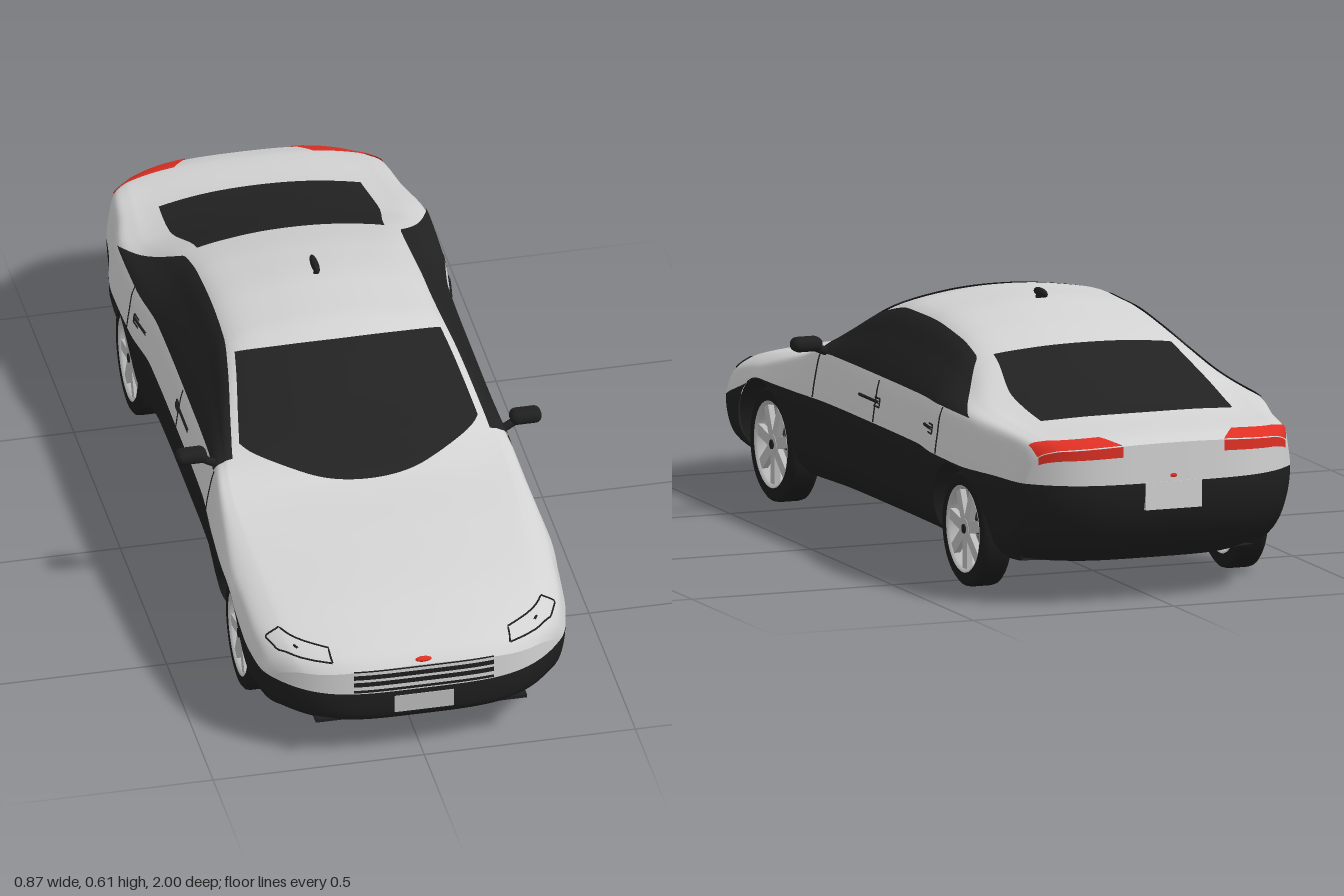
import * as THREE from 'three';
import { RoundedBoxGeometry } from 'three/addons/geometries/RoundedBoxGeometry.js';

const { lerp, clamp } = THREE.MathUtils;
const mat = (name, color) => {
  const m = new THREE.MeshStandardMaterial({ color, side: THREE.DoubleSide });
  m.name = name;
  return m;
};

// Body stations: z, half width, shoulder y, roof edge x, roof edge y, centre y
const ROWS = [
  [1, .34, .222, .24, .238, .25], [.985, .346, .23, .26, .253, .266],
  [.95, .358, .243, .27, .272, .286], [.9, .368, .262, .275, .29, .304],
  [.8, .38, .288, .28, .318, .333], [.6, .385, .33, .29, .353, .365],
  [.42, .376, .37, .3, .385, .39], [.33, .368, .395, .295, .42, .45],
  [.25, .362, .4, .282, .463, .515], [.1, .36, .4, .255, .533, .572],
  [0, .36, .4, .242, .553, .588], [-.12, .36, .4, .238, .553, .588],
  [-.3, .362, .4, .237, .535, .564], [-.45, .38, .403, .245, .498, .525],
  [-.62, .384, .404, .27, .435, .468], [-.8, .356, .39, .26, .404, .418],
  [-.95, .34, .378, .25, .392, .4], [-1, .33, .355, .24, .375, .385],
];
const BELT = [[1, .185], [.9, .2], [.762, .243], [.61, .293], [-1.1, .293]];
const WHEEL_Z = [.607, -.578], WHEEL_Y = .135, ARCH_R = .155, FLOOR = .09;

// Smooth monotone interpolation of the station table
function rowAt(z) {
  let i = 0;
  while (i < ROWS.length - 2 && z < ROWS[i + 1][0]) i++;
  const a = ROWS[i], b = ROWS[i + 1], h = b[0] - a[0], t = clamp((z - a[0]) / h, 0, 1);
  const sec = (k, c) => (ROWS[k + 1][c] - ROWS[k][c]) / (ROWS[k + 1][0] - ROWS[k][0]);
  const slope = (k, c) => {
    if (k === 0) return sec(0, c);
    if (k === ROWS.length - 1) return sec(k - 1, c);
    const p = sec(k - 1, c), q = sec(k, c);
    return p * q <= 0 ? 0 : 2 * p * q / (p + q);
  };
  return a.map((v, c) => c === 0 ? z :
    v * (1 + 2 * t) * (1 - t) ** 2 + b[c] * t * t * (3 - 2 * t)
    + h * (slope(i, c) * t * (1 - t) ** 2 + slope(i + 1, c) * t * t * (t - 1)));
}

// Plan-view rounding of nose and tail
const bowDepth = z => .1 * Math.max(0, (Math.abs(z) - .5) / .5) ** 3;
const bow = (z, f) => z - Math.sign(z) * bowDepth(z) * f ** 4;
const unbow = zs => {
  let z = zs;
  for (let i = 0; i < 60; i++) z = zs + Math.sign(zs) * bowDepth(z);
  return z;
};
const inArch = z => WHEEL_Z.some(c => Math.abs(z - c) < ARCH_R);
const lowEdge = z => {
  const c = WHEEL_Z.find(w => Math.abs(z - w) < ARCH_R);
  return c === undefined ? FLOOR : WHEEL_Y + Math.sqrt(ARCH_R ** 2 - (z - c) ** 2);
};
const belt = z => {
  let i = 0;
  while (i < BELT.length - 2 && z < BELT[i + 1][0]) i++;
  const [a, b] = [BELT[i], BELT[i + 1]];
  return Math.max(lerp(a[1], b[1], clamp((z - a[0]) / (b[0] - a[0]), 0, 1)), lowEdge(z) + .002);
};

// Upper shell: u runs 0 at the centre, 2 roof edge, 4 shoulder, 6 belt line; sign is the side
function shell(z0, u) {
  const [, W, ys, xr, yr, yc] = rowAt(z0), b = belt(bow(z0, 1));
  const p = [[0, yc], [xr * .5, yc - .22 * (yc - yr)], [xr, yr],
    [(xr + W - .02) / 2 + .005, (yr + ys) / 2 + .005], [W - .02, ys],
    [W - .006, b + .4 * (ys - b)], [W, b]];
  const at = k => k < 0 ? [-p[1][0], p[1][1]] : k > 6 ? [2 * p[6][0] - p[5][0], 2 * p[6][1] - p[5][1]] : p[k];
  const a = Math.abs(u), i = Math.min(5, Math.floor(a)), t = a - i;
  const [x, y] = [0, 1].map(c => {
    const [q, r, s, w] = [at(i - 1)[c], at(i)[c], at(i + 1)[c], at(i + 2)[c]];
    return .5 * (2 * r + (s - q) * t + (2 * q - 5 * r + 4 * s - w) * t * t + (3 * r - q - 3 * s + w) * t ** 3);
  });
  return new THREE.Vector3(Math.sign(u) * x, y, bow(z0, Math.min(1, x / W)));
}
// Point lifted off the shell along its normal
function lifted(z, u, d = .004) {
  const e = .004, za = Math.min(1, z + e), zb = Math.max(-1, z - e);
  const dz = shell(za, u).sub(shell(zb, u)), du = shell(z, u + e).sub(shell(z, u - e));
  return shell(z, u).addScaledVector(dz.cross(du).normalize(), d);
}
// Lower shell: f is the fraction of half width, q runs from belt (0) to bottom (1)
function lower(z0, f, q, flat = false) {
  const W = rowAt(z0)[1], z = bow(z0, f), b = belt(z);
  const y = lerp(b, flat ? FLOOR : lowEdge(z), q), Q = (b - y) / (b - FLOOR);
  const w = clamp((Math.abs(z0) - .8) / .2, 0, 1), s = Math.sign(z0);
  const cut = z0 > 0 ? .012 * Q ** 2 + .03 * Q ** 8 : .1 * Q ** 2 + .05 * Q ** 8;
  return new THREE.Vector3(f * (W - .03 * Q ** 2 - .03 * Q ** 8), y, z - s * w * cut);
}

const span = (a, b, n) => Array.from({ length: n + 1 }, (_, i) => lerp(a, b, i / n));
// Surface over two lists of parameters
function grid(us, vs, fn) {
  const pos = [], idx = [], n = vs.length;
  us.forEach((u, i) => vs.forEach((v, j) => {
    pos.push(...fn(u, v).toArray());
    if (i && j) {
      const d = i * n + j, c = d - 1, b = d - n, a = b - 1;
      idx.push(a, c, b, b, c, d);
    }
  }));
  const g = new THREE.BufferGeometry();
  g.setAttribute('position', new THREE.Float32BufferAttribute(pos, 3));
  g.setIndex(idx);
  g.computeVertexNormals();
  return g;
}

export function createModel() {
  const car = new THREE.Group();
  car.name = 'car';
  const silver = mat('silver paint', 0xd2d2d2), black = mat('black trim', 0x1f1f1f);
  const glass = mat('dark glass', 0x222222), red = mat('red lamp', 0xdf3024);
  const rubber = mat('tyre rubber', 0x1b1b1b), alloy = mat('alloy', 0xbcbcbc);
  const add = (name, geo, m, parent = car) => {
    const mesh = new THREE.Mesh(geo, m);
    mesh.name = name;
    parent.add(mesh);
    return mesh;
  };
  // Thin line drawn along the shell through (z, u) points
  const line = (name, pts, r = .0022) => {
    const path = new THREE.CurvePath();
    const fine = pts.slice(1).flatMap((p, i) => span(0, 1, 6).map(t =>
      lifted(lerp(pts[i][0], p[0], t), lerp(pts[i][1], p[1], t), .001)));
    fine.slice(1).forEach((p, i) => p.distanceTo(fine[i]) > 1e-5 && path.add(new THREE.LineCurve3(fine[i], p)));
    add(name, new THREE.TubeGeometry(path, 48, r, 5), black);
  };

  // Body shell; extra stations make the wheel arches round
  const stations = span(-1, 1, 170);
  for (const c of WHEEL_Z) {
    for (const k of span(0, Math.PI, 28)) stations.push(unbow(c + (ARCH_R - 1e-4) * Math.cos(k)));
    stations.push(unbow(c + ARCH_R + 1e-4), unbow(c - ARCH_R - 1e-4));
  }
  stations.sort((a, b) => a - b);
  add('upperBody', grid(stations, span(-6, 6, 72), shell), silver);
  for (const s of [-1, 1]) {
    const end = s > 0 ? 'front' : 'rear';
    add(end + 'Panel', grid(span(0, 1, 6), span(-6 * s, 6 * s, 72), (q, u) => {
      const p = shell(s, u);
      p.y = lerp(p.y, belt(p.z), q);
      return p;
    }), silver);
    add(end + 'Bumper', grid(span(0, 1, 14), span(-s, s, 40), (q, f) => lower(s, f, q)), black);
    add(s > 0 ? 'leftSill' : 'rightSill', grid(span(0, 1, 14), stations, (q, z) => lower(z, s, q)), black);
  }
  add('floor', grid(stations, span(-1, 1, 8), (z, f) =>
    lower(z, f * (inArch(bow(z, 1)) ? .8 : 1), 1, true)), black);

  // Windows
  add('windscreen', grid(span(0, 1, 40), span(-1, 1, 40), (b, a) =>
    lifted(lerp(.42 - .13 * a * a, .1 - .035 * a * a, b), a * 1.92)), glass);
  add('rearWindow', grid(span(0, 1, 36), span(-1, 1, 32), (b, a) =>
    lifted(lerp(-.45 + .015 * a * a, -.8 + .025 * a * a, b), a * 1.78)), glass);

  for (const s of [-1, 1]) {
    const side = s > 0 ? 'left' : 'right';
    add(side + 'Windows', grid(span(.32, -.645, 70), span(0, 1, 16), (z, v) =>
      lifted(z, s * lerp(2.13 + 1.84 * clamp((-z - .42) / .22, 0, 1), 3.98, v))), glass);

    // Tail lamp on the deck edge and the rear panel
    add(side + 'TailLamp', grid(span(0, 1, 8), span(0, 1, 16), (b, a) =>
      lifted(lerp(-1, -.95, b), s * lerp(1.05 + .25 * b, 3.9, a), .003)), red);
    add(side + 'TailLampRear', grid(span(0, .28, 3), span(1.05, 3.9, 16), (q, u) => {
      const p = shell(-1, s * u);
      return p.setY(lerp(p.y, belt(p.z), q)).setZ(p.z - .003);
    }), red);

    // Headlamp outline, door gaps and handles
    line(side + 'HeadlampOutline', [[.98, 1.55], [.94, 1.52], [.86, 2.65], [.875, 3.7], [.93, 3.3], [.98, 1.55]]
      .map(([z, u]) => [z, s * u]));
    line(side + 'HeadlampMark', [[.935, 2.1], [.925, 2.2]].map(([z, u]) => [z, s * u]), .003);
    for (const [z, top] of [[.32, 4], [-.035, 4.1], [-.47, 4]])
      line(side + 'DoorGap', [[z, s * top], [z, s * 5.95]], .0018);
    for (const [a, b] of [[.065, -.06], [-.355, -.43]]) {
      line(side + 'DoorHandle', [[a, s * 4.85], [b, s * 4.85]], .004);
      line(side + 'HandleRecess', [[b + .03, s * 4.7], [b, s * 4.7], [b, s * 5.05], [b + .03, s * 5.05]]);
    }

    // Door mirror
    const mirror = new THREE.Group();
    mirror.name = side + 'Mirror';
    car.add(mirror);
    add('mirrorHousing', new RoundedBoxGeometry(.074, .034, .045, 4, .016), black, mirror)
      .position.set(s * .396, .427, .288);
    add('mirrorStalk', new THREE.TubeGeometry(new THREE.LineCurve3(
      new THREE.Vector3(s * .33, .4, .3), new THREE.Vector3(s * .385, .423, .288)), 1, .01, 8), black, mirror);

    for (const c of WHEEL_Z) {
      // Wheel arch lining
      add(side + 'ArchLining', grid(span(-.29, Math.PI + .29, 36), [0, 1], (k, v) => {
        const z = c + ARCH_R * Math.cos(k), y = WHEEL_Y + ARCH_R * Math.sin(k);
        const Q = clamp((.293 - y) / .203, 0, 1);
        return new THREE.Vector3(s * lerp(.27, rowAt(unbow(z))[1] - .03 * Q * Q - .03 * Q ** 8, v), y, z);
      }), black);

      // Wheel, built around y and turned so its outer face points sideways
      const wheel = new THREE.Group();
      wheel.name = side + (c > 0 ? 'FrontWheel' : 'RearWheel');
      wheel.position.set(s * .32, WHEEL_Y, c);
      wheel.rotation.z = -s * Math.PI / 2;
      car.add(wheel);
      const ring = pts => new THREE.LatheGeometry(pts.map(p => new THREE.Vector2(...p)), 48);
      add('tyre', ring([[.1, -.034], [.125, -.036], [.133, -.03], [.135, -.02], [.135, .02],
        [.133, .03], [.125, .036], [.1, .034]]), rubber, wheel);
      add('rim', ring([[.1, -.034], [.093, -.03], [.09, 0], [.093, .03], [.102, .036]]), alloy, wheel);
      add('hub', new THREE.CylinderGeometry(.024, .028, .02, 24), alloy, wheel).position.y = .022;
      add('hubCap', new THREE.CylinderGeometry(.011, .011, .004, 20), black, wheel).position.y = .033;
      for (let i = 0; i < 7; i++) {
        const a = i / 7 * Math.PI * 2;
        const spoke = add('spoke', new THREE.BoxGeometry(.075, .014, .027), alloy, wheel);
        spoke.position.set(Math.cos(a) * .056, .024, -Math.sin(a) * .056);
        spoke.rotation.y = a;
      }
    }
  }

  // Grille slats following the nose
  for (const [y, h] of [[.247, .004], [.231, .012], [.212, .012], [.193, .007]])
    add('grilleSlat', grid([y + h / 2, y - h / 2], span(-.166, .166, 16), (yy, x) =>
      new THREE.Vector3(x, yy, bow(1, x / .34) + .002)), black);
  add('bumperLip', new THREE.BoxGeometry(.5, .008, .03), black).position.set(0, .108, .955);

  // Plates, badges, aerial and exhaust
  add('frontPlate', new THREE.BoxGeometry(.14, .044, .009), alloy).position.set(0, .15, .997);
  add('rearPlate', new THREE.BoxGeometry(.14, .065, .014), silver).position.set(0, .262, -.994);
  const oval = (name, m, x, y, z, sx, sy, sz) => {
    const o = add(name, new THREE.SphereGeometry(1, 20, 12), m);
    o.position.set(x, y, z);
    o.scale.set(sx, sy, sz);
  };
  oval('frontBadge', red, 0, .259, .99, .02, .006, .009);
  oval('rearBadge', red, 0, .308, -.998, .01, .006, .004);
  oval('aerial', black, 0, .6, -.18, .009, .011, .038);
  add('aerialFoot', new THREE.CylinderGeometry(.005, .008, .02, 12), black).position.set(0, .588, -.165);
  const exhaust = add('exhaust', new THREE.CylinderGeometry(.011, .011, .09, 16), alloy);
  exhaust.position.set(-.17, .113, -.82);
  exhaust.rotation.x = Math.PI / 2;
  return car;
}
